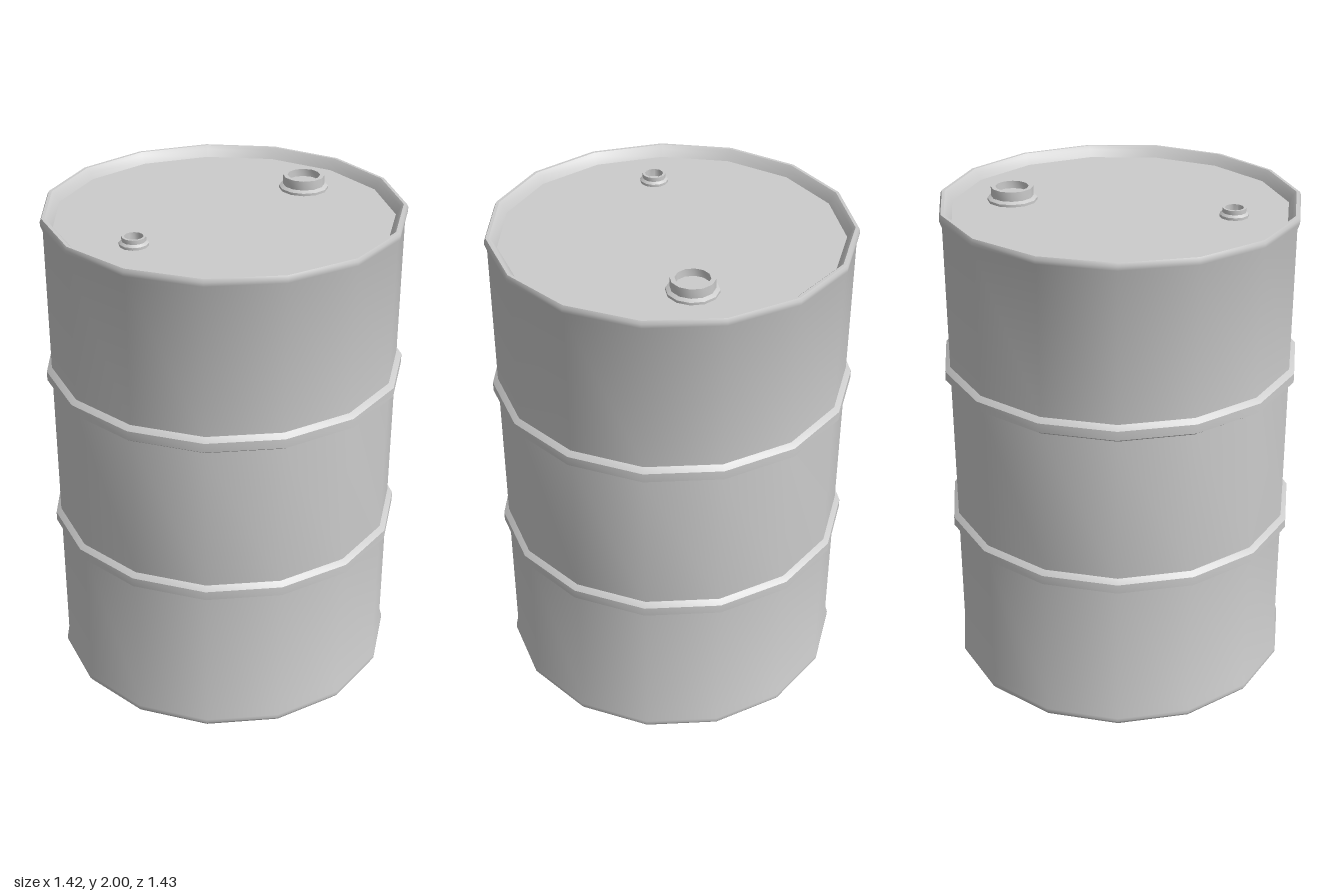
import * as THREE from 'three';
import { toCreasedNormals } from 'three/addons/utils/BufferGeometryUtils.js';

const material = new THREE.MeshStandardMaterial({ color: 0xcccccc, side: THREE.DoubleSide });

// Revolves [radius, height] points, keeping strong profile bends sharp
function lathe(name, profile, sides, phiStart) {
  const points = profile.map(([r, y]) => new THREE.Vector2(r, y));
  const geometry = new THREE.LatheGeometry(points, sides, phiStart);
  const mesh = new THREE.Mesh(toCreasedNormals(geometry, THREE.MathUtils.degToRad(35)), material);
  mesh.name = name;
  return mesh;
}

// Raised hoop in the drum wall
const hoop = (y) => [[0.697, y - 0.034], [0.718, y - 0.02], [0.718, y + 0.017], [0.697, y + 0.034]];

// Flanged filler neck with a recessed plug
function filler(name, z, lidY, topY, flange, outer, inner) {
  const profile = [
    [flange, lidY], [flange, lidY + 0.01], [outer, lidY + 0.018],
    [outer, topY], [inner, topY], [inner, topY - 0.03], [0, topY - 0.03],
  ];
  const mesh = lathe(name, profile, 12, Math.PI / 12);
  mesh.position.set(-0.01, 0, z);
  return mesh;
}

export function createModel() {
  const model = new THREE.Group();
  model.name = 'oilDrum';
  const lidY = 1.945;

  // Wall with flared ends and two hoops, open at the bottom
  const wall = lathe('drumWall', [
    [0.698, 0], [0.706, 0.012], [0.706, 0.028], [0.697, 0.06],
    ...hoop(0.663), ...hoop(1.327),
    [0.697, 1.935], [0.706, 1.96], [0.706, 1.975], [0.7, 1.987],
  ], 15, Math.PI / 2);

  // Rim rolling inward down to the sunken lid
  const lid = lathe('rimAndLid', [
    [0.7, 1.987], [0.688, 1.987], [0.676, 1.975], [0.66, lidY], [0, lidY],
  ], 15, Math.PI / 2);

  // An odd-sided ring is centred by shifting it slightly
  wall.position.x = lid.position.x = -0.008;

  model.add(
    wall, lid,
    filler('largeFiller', -0.432, lidY, 2, 0.098, 0.083, 0.065),
    filler('smallFiller', 0.444, lidY, 1.98, 0.056, 0.046, 0.036),
  );
  return model;
}
